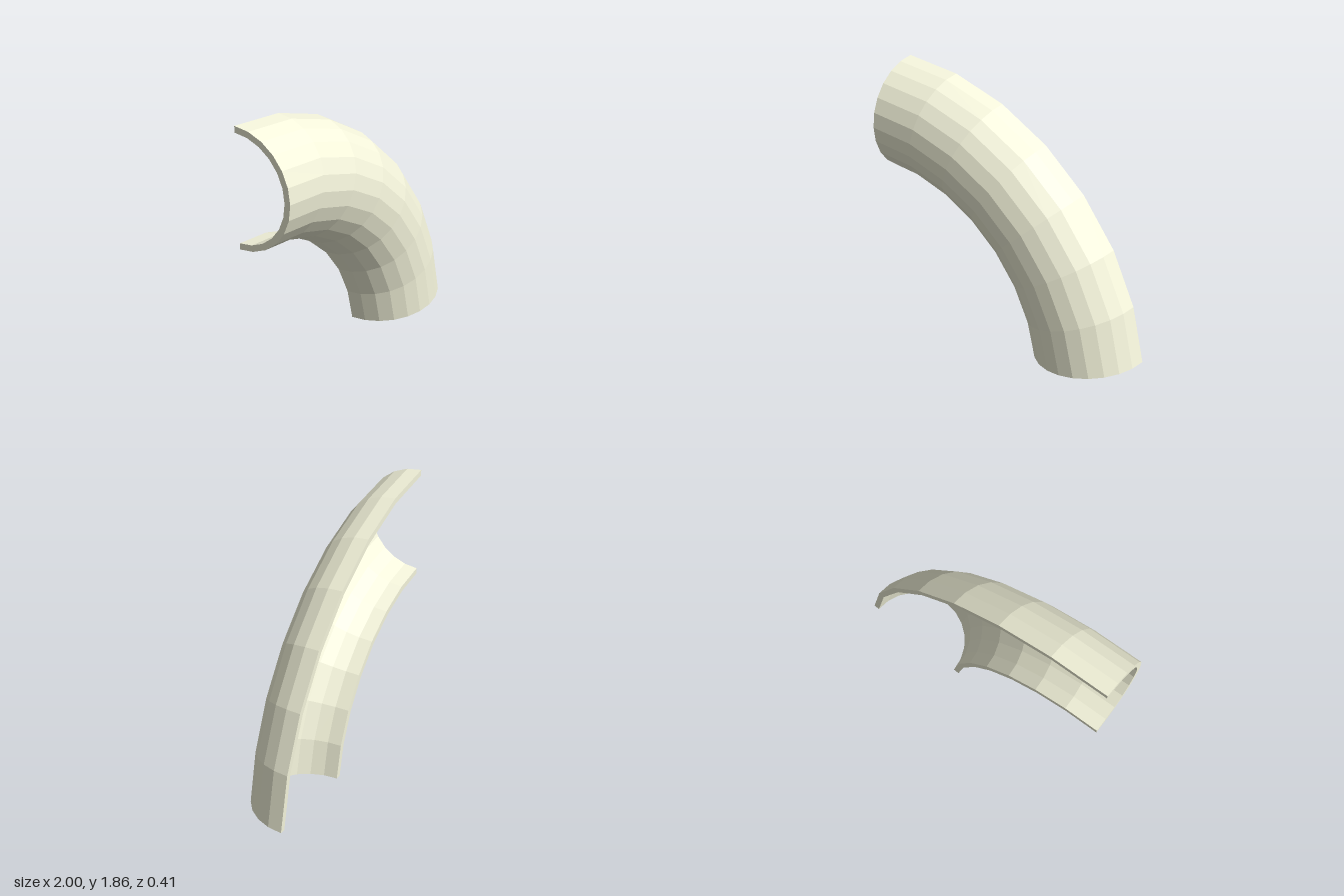
import * as THREE from 'three';

const BEND = 1.606;    // radius of the elbow's centre line
const RADIUS = 0.41;   // outer radius of the pipe
const WALL = 0.043;    // wall thickness
const ARC_SIDES = 12;  // facets around the half pipe
const STEPS = 7;       // facets along the bend
const SWEEP = THREE.MathUtils.degToRad(82.65);

// Closed C-shaped wall section: x is distance from the bend axis, y is depth
function wallSection() {
  const points = [];
  const arc = (radius, from, to) => {
    for (let i = 0; i <= ARC_SIDES; i++) {
      const a = THREE.MathUtils.lerp(from, to, i / ARC_SIDES);
      points.push(new THREE.Vector2(BEND + radius * Math.cos(a), RADIUS / 2 - radius * Math.sin(a)));
    }
  };
  arc(RADIUS, Math.PI, 0);
  arc(RADIUS - WALL, 0, Math.PI);
  return points;
}

export function createModel() {
  const group = new THREE.Group();
  group.name = 'halfPipeElbow';
  const material = new THREE.MeshStandardMaterial({ color: 0xf5f5dc, flatShading: true });
  const capMaterial = material.clone();
  capMaterial.side = THREE.DoubleSide;

  const elbow = new THREE.Group();
  elbow.name = 'elbow';
  const section = wallSection();

  // Curved shell with its two flat cut rims
  const shell = new THREE.Mesh(
    new THREE.LatheGeometry([...section, section[0].clone()], STEPS, 0, SWEEP), material);
  shell.name = 'pipeShell';
  elbow.add(shell);

  // Flat end faces of the wall
  [['upperEnd', 0], ['lowerEnd', SWEEP]].forEach(([name, angle]) => {
    const end = new THREE.Mesh(new THREE.ShapeGeometry(new THREE.Shape(section)), capMaterial);
    end.name = name;
    end.rotation.y = angle - Math.PI / 2;
    elbow.add(end);
  });

  // Stand the bend upright, with the open side at the back
  elbow.rotation.x = -Math.PI / 2;
  elbow.position.set(-1, -0.153, 0);
  group.add(elbow);
  return group;
}
